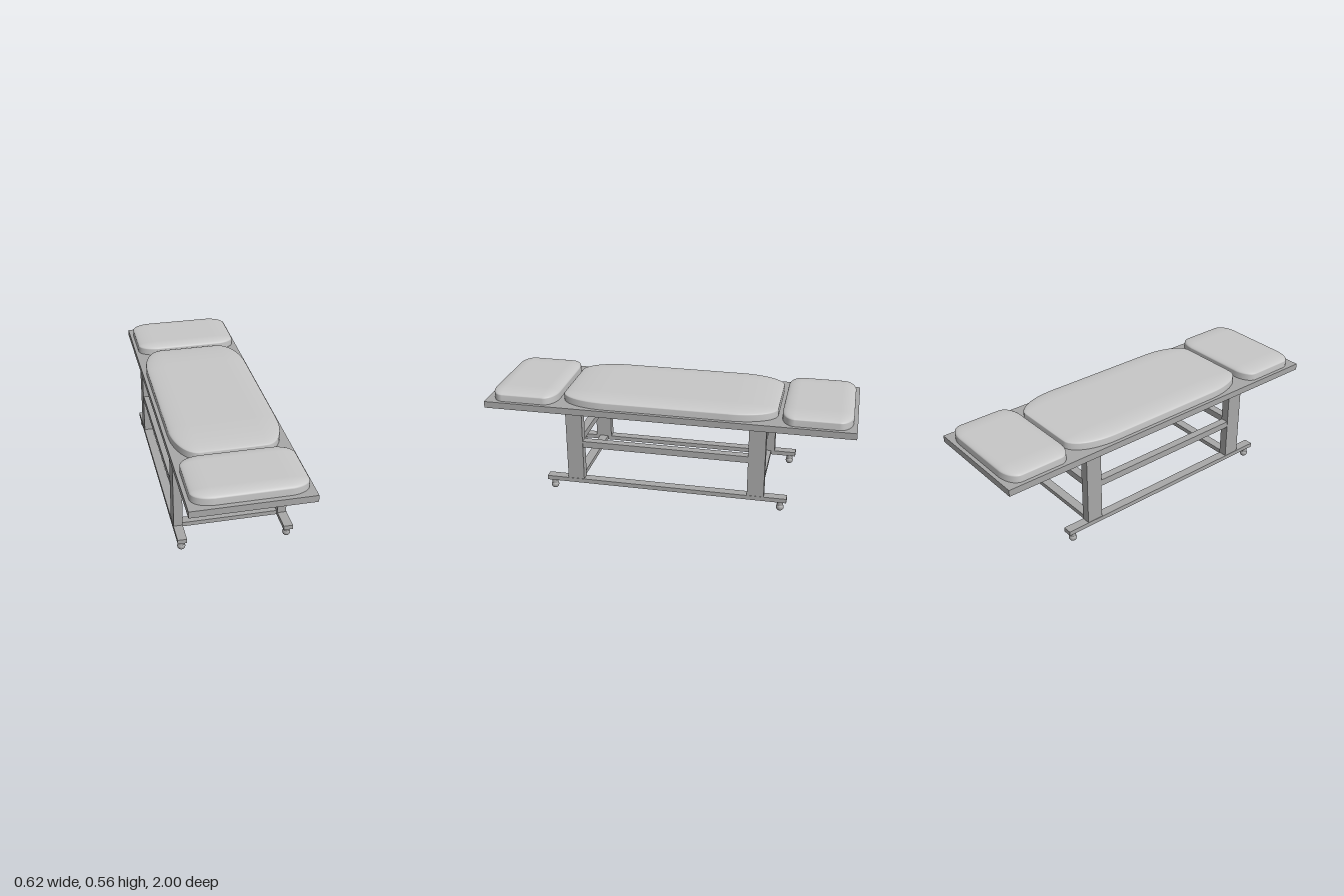
import * as THREE from 'three';
import { mergeVertices } from 'three/addons/utils/BufferGeometryUtils.js';

const frameMat = new THREE.MeshStandardMaterial({ color: 0xa8a8a8 });
frameMat.name = 'grey frame';
const padMat = new THREE.MeshStandardMaterial({ color: 0xc8c8c8 });
padMat.name = 'light grey upholstery';

// Pad with elliptical corners: a straight wall, then a dome curving inwards to a flat top.
function padGeometry(hx, hz, rx, rz, wall, dome) {
  const perCorner = 12, domeSteps = 10, pos = [], index = [];
  const n = 4 * (perCorner + 1);
  const ring = (y, k) => {
    for (let c = 0; c < 4; c++) {
      const sx = c === 0 || c === 3 ? 1 : -1, sz = c < 2 ? 1 : -1;
      for (let i = 0; i <= perCorner; i++) {
        const a = (c + i / perCorner) * Math.PI / 2;
        pos.push(sx * (hx - rx) + rx * k * Math.cos(a), y, sz * (hz - rz) + rz * k * Math.sin(a));
      }
    }
  };
  ring(0, 1);
  for (let s = 0; s <= domeSteps; s++) {
    const phi = s / domeSteps * Math.PI / 2;
    ring(wall + dome * Math.sin(phi), Math.cos(phi));
  }
  const rings = domeSteps + 2;
  for (let r = 0; r < rings - 1; r++) {
    for (let i = 0; i < n; i++) {
      const a = r * n + i, b = r * n + (i + 1) % n;
      index.push(a, a + n, b, b, a + n, b + n);
    }
  }
  // flat top
  const centre = pos.length / 3, last = (rings - 1) * n;
  pos.push(0, wall + dome, 0);
  for (let i = 0; i < n; i++) index.push(last + i, centre, last + (i + 1) % n);
  const geo = new THREE.BufferGeometry();
  geo.setAttribute('position', new THREE.Float32BufferAttribute(pos, 3));
  geo.setIndex(index);
  const merged = mergeVertices(geo, 1e-5);
  merged.computeVertexNormals();
  return merged;
}

export function createModel() {
  const group = new THREE.Group();
  group.name = 'treatmentTable';

  const add = (name, geo, mat, x, y, z) => {
    const mesh = new THREE.Mesh(geo, mat);
    mesh.name = name;
    mesh.position.set(x, y, z);
    group.add(mesh);
  };
  // Box given by its limits along each axis
  const box = (name, x0, x1, y0, y1, z0, z1) =>
    add(name, new THREE.BoxGeometry(x1 - x0, y1 - y0, z1 - z0), frameMat,
      (x0 + x1) / 2, (y0 + y1) / 2, (z0 + z1) / 2);

  // Tabletop and its three pads
  box('tabletop', -0.31, 0.31, 0.467, 0.503, -1, 1);
  add('middlePad', padGeometry(0.29, 0.585, 0.12, 0.25, 0.035, 0.022), padMat, 0, 0.503, -0.002);
  for (const [name, z] of [['frontPad', 0.79], ['backPad', -0.795]])
    add(name, padGeometry(0.29, 0.184, 0.11, 0.07, 0.035, 0.021), padMat, 0, 0.503, z);

  // Legs, rails and casters, mirrored left and right
  for (const s of [-1, 1]) {
    const side = s > 0 ? 'left' : 'right';
    const sideBox = (name, x0, x1, ...rest) =>
      box(side + name, Math.min(s * x0, s * x1), Math.max(s * x0, s * x1), ...rest);
    sideBox('BaseRail', 0.256, 0.305, 0.058, 0.082, -0.664, 0.664);
    sideBox('MiddleRail', 0.258, 0.3, 0.275, 0.311, -0.453, 0.453);
    for (const e of [-1, 1]) {
      const end = e > 0 ? 'Front' : 'Back';
      const z = 0.497 * e;
      sideBox(end + 'Leg', 0.256, 0.303, 0.08, 0.468, z - 0.045, z + 0.045);
      add(side + end + 'CasterStem', new THREE.CylinderGeometry(0.017, 0.017, 0.03, 24), frameMat,
        s * 0.281, 0.044, e * 0.63);
      add(side + end + 'CasterBall', new THREE.SphereGeometry(0.021, 24, 16), frameMat,
        s * 0.281, 0.021, e * 0.63);
    }
  }

  // Cross bars joining the two sides at each end
  for (const e of [-1, 1]) {
    const end = e > 0 ? 'front' : 'back';
    const z = 0.497 * e;
    box(end + 'BaseCrossBar', -0.257, 0.257, 0.058, 0.082, z - 0.025, z + 0.025);
    box(end + 'MiddleCrossBar', -0.257, 0.257, 0.275, 0.311, z - 0.022, z + 0.022);
  }
  return group;
}
